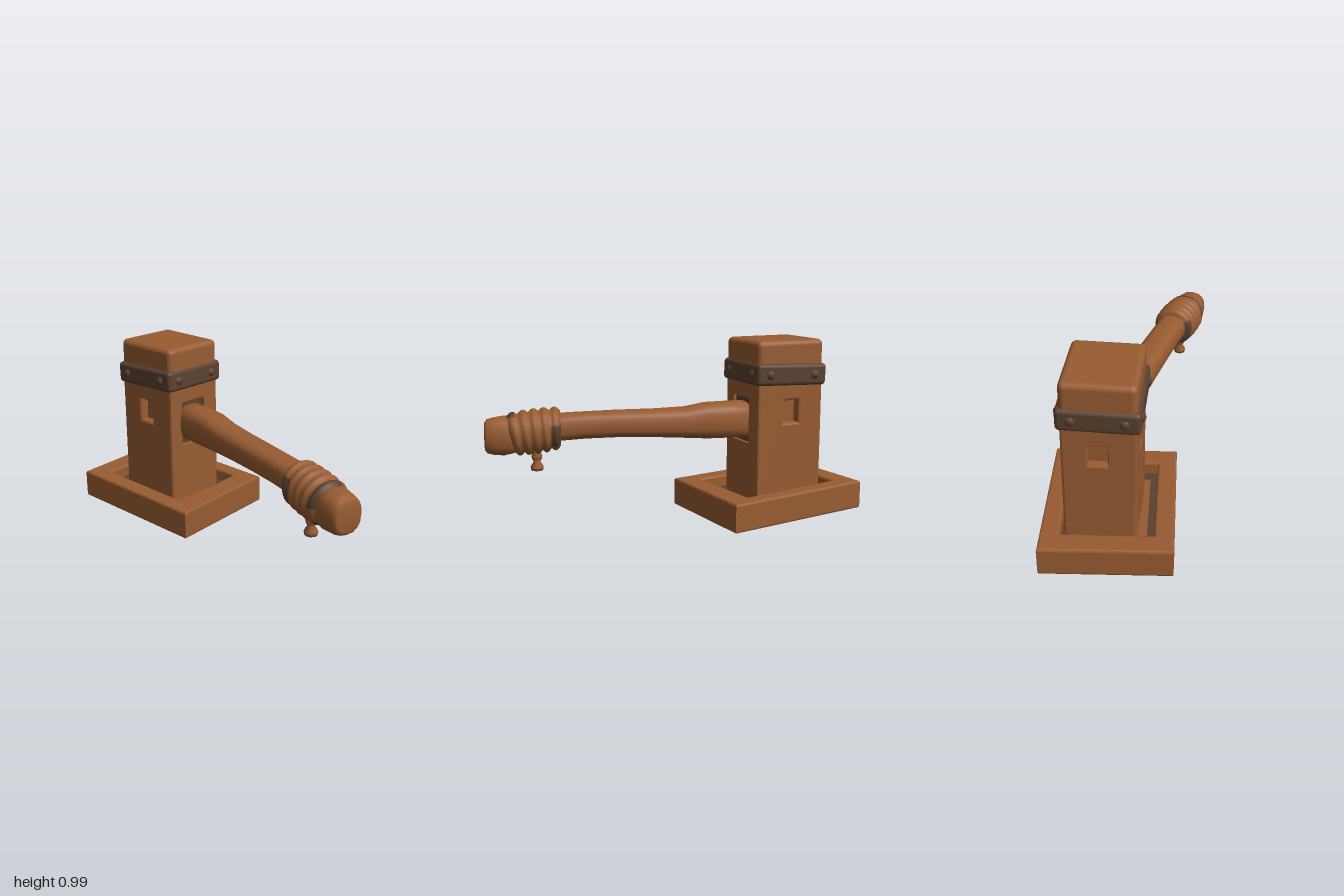
import * as THREE from 'three';
import { RoundedBoxGeometry } from 'three/addons/geometries/RoundedBoxGeometry.js';

const wood = new THREE.MeshStandardMaterial({ color: 0x985c32 });
wood.name = 'warm wood';
const dark = new THREE.MeshStandardMaterial({ color: 0x5a4130 });
dark.name = 'dark binding';

function add(group, name, geometry, material, x = 0, y = 0, z = 0) {
  const mesh = new THREE.Mesh(geometry, material);
  mesh.name = name;
  mesh.position.set(x, y, z);
  group.add(mesh);
  return mesh;
}

// Outline with optional hole, extruded; the outline is the outer limit of the bevel
function slab(points, hole, depth, bevel = 0.012) {
  const shape = new THREE.Shape(points.map(p => new THREE.Vector2(...p)));
  if (hole) shape.holes.push(new THREE.Path(hole.map(p => new THREE.Vector2(...p))));
  const g = new THREE.ExtrudeGeometry(shape, {
    depth: depth - 2 * bevel, bevelEnabled: bevel > 0, bevelSize: bevel,
    bevelThickness: bevel, bevelOffset: -bevel, bevelSegments: 2,
  });
  return g.translate(0, 0, bevel);
}
const rect = (x0, x1, y0, y1) => [[x0, y0], [x1, y0], [x1, y1], [x0, y1]];

// Lay a slab flat (outline in x, z) and lean it so the -x end is higher
function layFlat(g, y) {
  g.rotateX(-Math.PI / 2).translate(0, y, 0);
  const p = g.attributes.position;
  for (let i = 0; i < p.count; i++) p.setY(i, p.getY(i) + (-0.12 - p.getX(i)) * 0.035);
  g.computeVertexNormals();
  return g;
}
const flip = pts => pts.map(([x, z]) => [x, -z]);

// Loft through stations [x, y, z, halfHeight, halfWidth, tilt]; squarish rings
function loft(stations, isDark = () => false, n = 20, power = 0.8, yaw = 0.25) {
  const pos = [], idx = [[], []], c = Math.cos(yaw), s = Math.sin(yaw);
  const soft = v => Math.sign(v) * Math.abs(v) ** power;
  for (const [x, y, z, h, w, tilt = 0] of stations) {
    for (let j = 0; j < n; j++) {
      const a = j / n * Math.PI * 2, side = w * soft(Math.cos(a)), t = tilt * Math.sin(a);
      pos.push(x - s * side + c * t, y + h * soft(Math.sin(a)), z + c * side + s * t);
    }
  }
  const last = stations.length - 1;
  for (let i = 0; i < last; i++) for (let j = 0; j < n; j++) {
    const k = (j + 1) % n, a = i * n + j, b = a + n, d = i * n + k, e = d + n;
    idx[isDark(i, j / n) ? 1 : 0].push(a, b, d, d, b, e);
  }
  // end caps
  const centre = pos.length / 3;
  pos.push(...stations[0].slice(0, 3), ...stations[last].slice(0, 3));
  for (let j = 0; j < n; j++) {
    const k = (j + 1) % n;
    idx[0].push(centre, j, k, centre + 1, last * n + k, last * n + j);
  }
  const g = new THREE.BufferGeometry();
  g.setAttribute('position', new THREE.Float32BufferAttribute(pos, 3));
  g.setIndex([...idx[0], ...idx[1]]);
  g.addGroup(0, idx[0].length, 0);
  g.addGroup(idx[0].length, idx[1].length, 1);
  g.computeVertexNormals();
  return g;
}

function makeBase() {
  const base = new THREE.Group();
  base.name = 'base';
  const outer = flip([[-1, -0.33], [-0.94, 0.32], [-0.12, 0.278], [-0.17, -0.385]]);
  const inner = flip([[-0.87, -0.24], [-0.83, 0.215], [-0.25, 0.185], [-0.295, -0.285]]);
  const floor = flip([[-0.9, -0.27], [-0.86, 0.245], [-0.22, 0.215], [-0.265, -0.315]]);
  const core = flip([[-0.81, -0.2], [-0.79, 0.175], [-0.3, 0.15], [-0.33, -0.24]]);
  add(base, 'baseFrame', layFlat(slab(outer, inner, 0.16), 0.005), wood);
  add(base, 'baseFloor', layFlat(slab(floor, null, 0.085, 0), 0.005), wood);
  add(base, 'floorEdge', layFlat(slab(inner, core, 0.006, 0), 0.09), dark);
  return base;
}

function makePost() {
  const post = new THREE.Group();
  post.name = 'post';
  const x0 = -0.785, x1 = -0.38, z0 = -0.235, z1 = 0.125, yb = 0.09, yt = 0.82, t = 0.07;
  const cx = (x0 + x1) / 2, cz = (z0 + z1) / 2;
  // front and back walls with square mortises
  const faceHole = rect(-0.635, -0.54, 0.545, 0.67);
  add(post, 'frontWall', slab(rect(x0, x1, yb, yt), faceHole, t), wood, 0, 0, z1 - t);
  add(post, 'backWall', slab(rect(x0, x1, yb, yt), faceHole, t), wood, 0, 0, z0);
  // side walls: outline runs along -z once turned
  const sideRect = rect(-z1 + 0.02, -z0 - 0.02, yb, yt);
  const right = slab(sideRect, rect(-0.04, 0.13, 0.43, 0.68), t, 0.004).rotateY(Math.PI / 2);
  add(post, 'handleWall', right, wood, x1 - t, 0, 0);
  const left = slab(sideRect, rect(0.01, 0.11, 0.545, 0.67), t, 0.004).rotateY(Math.PI / 2);
  add(post, 'farWall', left, wood, x0, 0, 0);
  add(post, 'core', new THREE.BoxGeometry(x1 - x0 - 0.1, yt - yb, z1 - z0 - 0.1), wood, cx, (yb + yt) / 2, cz);
  add(post, 'mortiseLining', new THREE.BoxGeometry(0.008, 0.27, 0.19), dark, x1 - 0.022, 0.555, -0.045);
  // crown, slightly domed and uneven
  const crown = new RoundedBoxGeometry(x1 - x0 + 0.006, 0.25, z1 - z0 + 0.004, 4, 0.03);
  add(post, 'crown', crown, wood, cx, 0.873, cz);

  // binding strap with studs
  const strap = new THREE.Group();
  strap.name = 'strap';
  strap.position.set(cx, 0.812, cz);
  strap.rotation.z = 0.035;
  add(strap, 'strapBand', new RoundedBoxGeometry(0.435, 0.118, 0.4, 3, 0.022), dark);
  const stud = new THREE.SphereGeometry(0.026, 8, 6);
  for (const s of [-1, 1]) {
    for (const u of [-0.14, 0.14]) {
      add(strap, 'stud', stud, dark, u, 0, s * 0.197).scale.z = 0.7;
      add(strap, 'stud', stud, dark, s * 0.212, 0, u * 0.9).scale.x = 0.7;
    }
  }
  post.add(strap);
  return post;
}

function makeHandle() {
  const handle = new THREE.Group();
  handle.name = 'handle';
  const shaft = loft([
    [-0.46, 0.553, -0.046, 0.1, 0.093], [-0.3, 0.554, -0.028, 0.101, 0.093],
    [-0.18, 0.554, -0.008, 0.099, 0.091], [-0.06, 0.548, 0.02, 0.084, 0.088],
    [0.1, 0.55, 0.062, 0.076, 0.085], [0.3, 0.553, 0.115, 0.072, 0.082],
    [0.46, 0.551, 0.155, 0.071, 0.08], [0.62, 0.545, 0.195, 0.073, 0.08],
    [0.82, 0.52, 0.252, 0.08, 0.082],
  ], undefined, 20, 0.72);
  add(handle, 'shaft', shaft, [wood, dark]);

  // swollen butt
  const butt = loft([
    [0.8, 0.515, 0.246, 0.095, 0.09], [0.88, 0.508, 0.268, 0.106, 0.092],
    [0.93, 0.506, 0.282, 0.1, 0.087], [0.965, 0.506, 0.291, 0.09, 0.08],
    [0.977, 0.506, 0.294, 0.072, 0.066],
  ], undefined, 16, 0.8);
  add(handle, 'butt', butt, [wood, dark]);

  // cord wrap: tilted coils with a few dark turns
  const coils = [], steps = 20;
  for (let i = 0; i <= steps; i++) {
    const u = i / steps, bump = Math.abs(Math.sin(u * Math.PI * 5));
    const r = 0.097 + 0.018 * bump + 0.008 * Math.sin(u * Math.PI);
    coils.push([0.595 + 0.25 * u, 0.54 - 0.028 * u, 0.188 + 0.07 * u, r, r * 0.97, 0.022 * u]);
  }
  coils.unshift([0.594, 0.54, 0.188, 0.06, 0.06]);
  coils.push([0.85, 0.512, 0.26, 0.08, 0.08, 0.022]);
  const turn = (i, a) => (i < 5 && (a > 0.8 || a < 0.05 || (a > 0.45 && a < 0.6)))
    || (i > 17 && (a < 0.3 || (a > 0.68 && a < 0.85)));
  add(handle, 'cordWrap', loft(coils, turn, 24, 0.95), [wood, dark]);

  // knotted cord end hanging below
  const tail = [[0.001, 0.318], [0.032, 0.31], [0.036, 0.33], [0.018, 0.358], [0.026, 0.372],
    [0.03, 0.39], [0.022, 0.41], [0.02, 0.45]].map(p => new THREE.Vector2(...p));
  add(handle, 'cordTail', new THREE.LatheGeometry(tail, 9), wood, 0.715, 0, 0.232);
  return handle;
}

export function createModel() {
  const model = new THREE.Group();
  model.name = 'woodenMallet';
  model.add(makeBase(), makePost(), makeHandle());
  return model;
}
